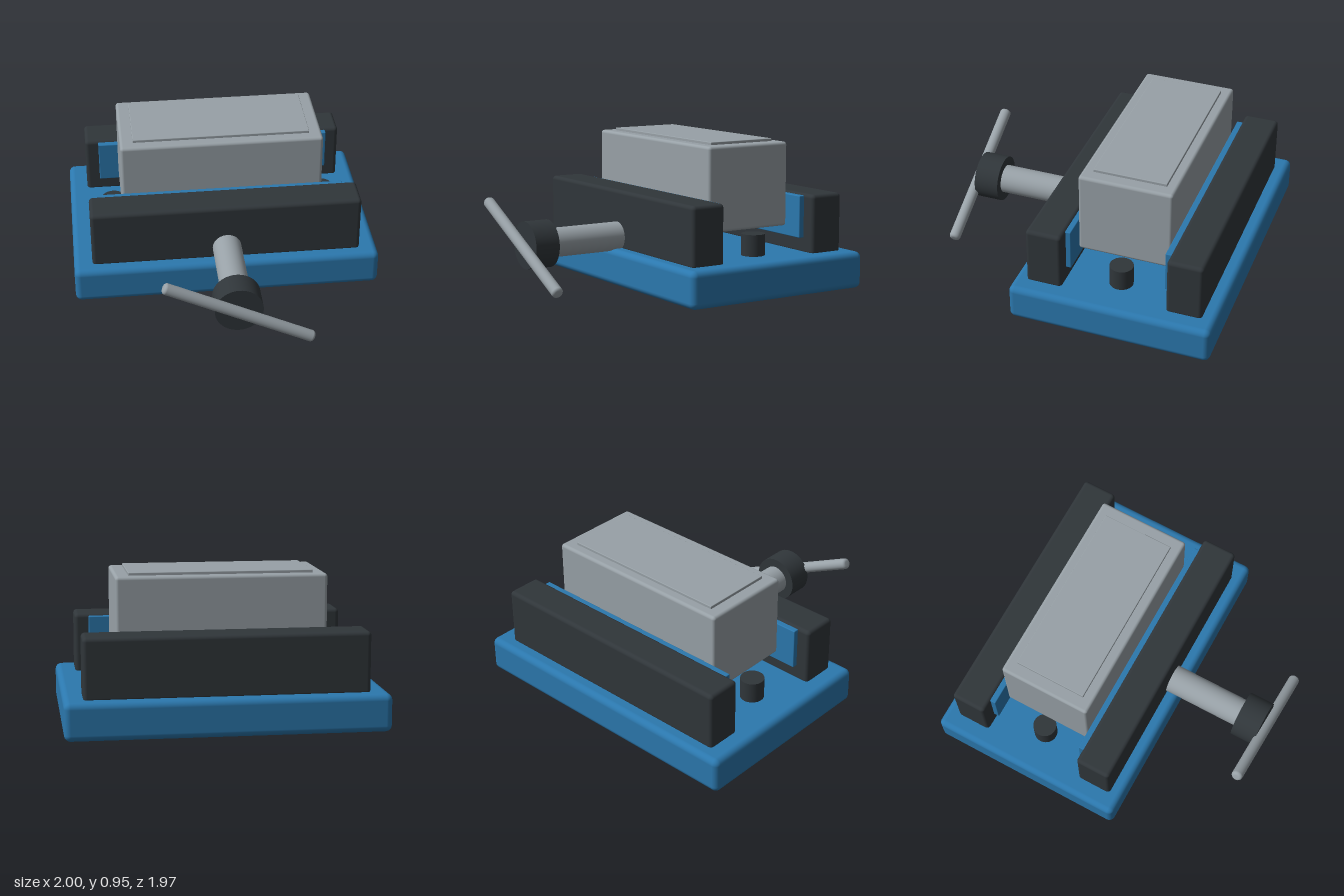
import * as THREE from 'three';
import { RoundedBoxGeometry } from 'three/addons/geometries/RoundedBoxGeometry.js';

const material = (color) => new THREE.MeshStandardMaterial({ color });

export function createModel() {
  const group = new THREE.Group();
  const blue = material(0x2b78ae);
  const dark = material(0x30363a);
  const steel = material(0x98a1a7);

  const add = (name, geometry, mat) => {
    const mesh = new THREE.Mesh(geometry, mat);
    mesh.name = name;
    group.add(mesh);
    return mesh;
  };

  // Rounded block given by its half width and its y and z ranges
  const block = (name, halfX, [y0, y1], [z0, z1], radius, mat) => {
    const geometry = new RoundedBoxGeometry(2 * halfX, y1 - y0, z1 - z0, 4, radius);
    return add(name, geometry.translate(0, (y0 + y1) / 2, (z0 + z1) / 2), mat);
  };

  // Round bar along y, centred, with softened rims
  const bar = (radius, length, bevel) => {
    const h = length / 2;
    const points = [new THREE.Vector2(0, -h)];
    for (const end of [-1, 1]) {
      for (let i = 0; i <= 4; i++) {
        const a = (end < 0 ? i - 4 : i) * Math.PI / 8;
        points.push(new THREE.Vector2(
          radius - bevel + bevel * Math.cos(a),
          end * (h - bevel) + bevel * Math.sin(a)));
      }
    }
    points.push(new THREE.Vector2(0, h));
    return new THREE.LatheGeometry(points, 40);
  };

  // Base and the two jaws
  block('base', 1, [0, 0.237], [-0.988, 0.33], 0.04, blue);
  block('frontJaw', 0.88, [0.22, 0.612], [0.015, 0.249], 0.025, dark);
  block('backJaw', 0.88, [0.22, 0.612], [-0.9, -0.668], 0.025, dark);

  // Soft jaw plates
  block('frontJawPlate', 0.79, [0.327, 0.6], [-0.018, 0.025], 0.006, blue);
  block('backJawPlate', 0.79, [0.327, 0.6], [-0.675, -0.632], 0.006, blue);

  // Clamped workpiece with a raised top panel
  block('workpiece', 0.66, [0.392, 0.937], [-0.63, -0.02], 0.02, steel);
  block('workpieceTopPanel', 0.576, [0.92, 0.955], [-0.565, -0.09], 0.004, steel);

  // Support posts on the base
  for (const side of [-1, 1]) {
    const post = add(side > 0 ? 'leftPost' : 'rightPost',
      new THREE.CylinderGeometry(0.076, 0.076, 0.155, 40), dark);
    post.position.set(side * 0.71, 0.2975, -0.325);
  }

  // Clamping screw and its hub
  const screw = add('screw', new THREE.CylinderGeometry(0.094, 0.094, 0.58, 40), steel);
  screw.rotation.x = Math.PI / 2;
  screw.position.set(0, 0.31, 0.51);
  const hub = add('hub', new THREE.CylinderGeometry(0.152, 0.152, 0.165, 48), dark);
  hub.rotation.x = Math.PI / 2;
  hub.position.set(0, 0.31, 0.845);

  // Tilted turning handle
  const handle = add('handle', bar(0.037, 1.04, 0.02), steel);
  handle.rotation.z = THREE.MathUtils.degToRad(64);
  handle.position.set(0, 0.31, 0.95);

  return group;
}
